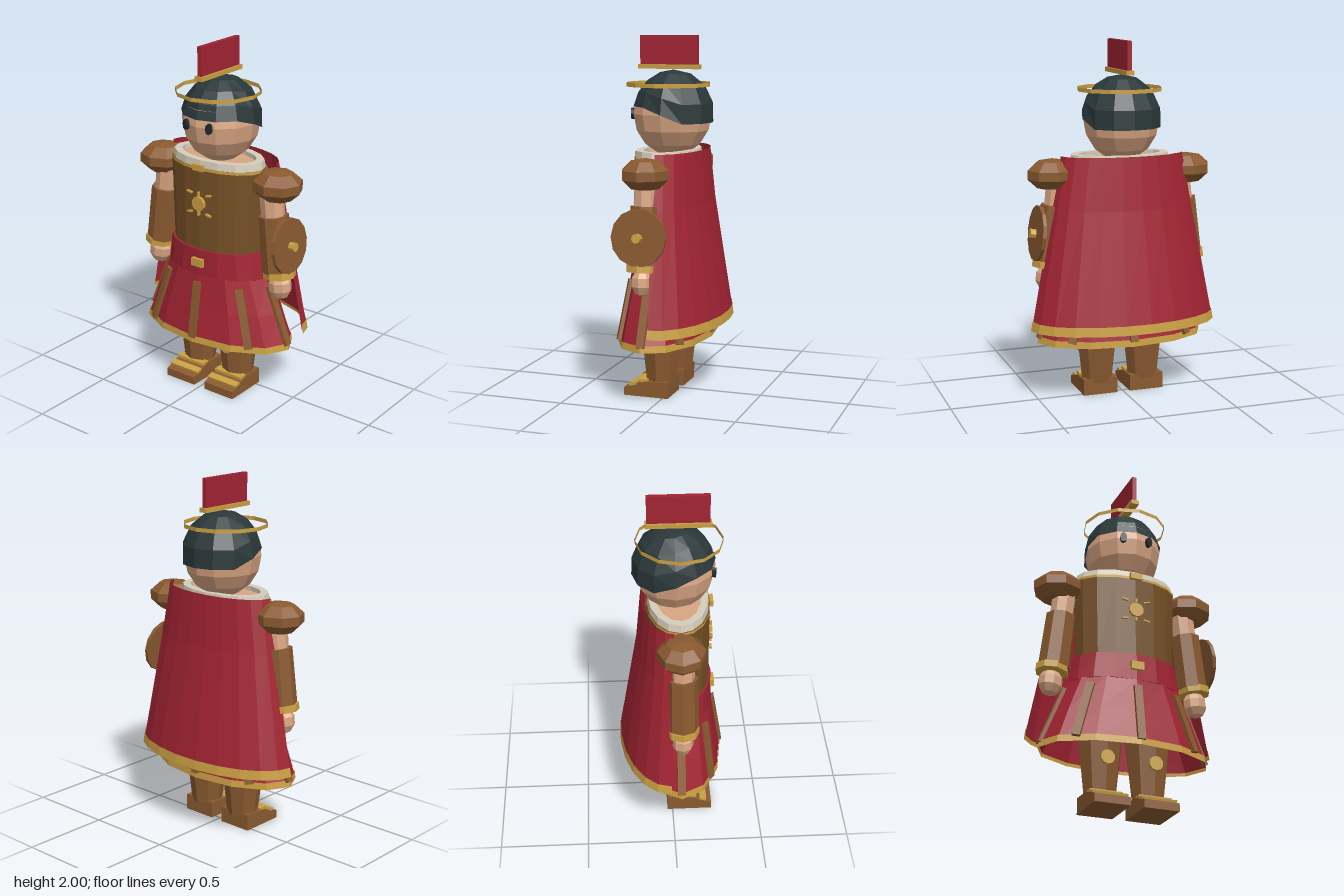
import * as THREE from 'three';

const mat = (name, color, side = THREE.FrontSide) =>
  Object.assign(new THREE.MeshStandardMaterial({ color, flatShading: true, side }), { name });

const red = mat('red cloth', 0xa32433, THREE.DoubleSide);
const gold = mat('gold', 0xcba042, THREE.DoubleSide);
const skin = mat('skin', 0xd8a582);
const leather = mat('leather', 0x8a5a30);
const bronze = mat('dark bronze', 0x765026);
const dark = mat('dark helmet', 0x2a3739, THREE.DoubleSide);
const linen = mat('linen', 0xd6cdba);
const eyeColor = mat('eye', 0x20272b);

const CZ = 0.04; // body centre line in z

function add(parent, name, geo, material, x = 0, y = 0, z = 0) {
  const m = new THREE.Mesh(geo, material);
  m.name = name;
  m.position.set(x, y, z);
  parent.add(m);
  return m;
}

// Elliptical loft through rows of [y, rx, rz, cz], listed from top to bottom
function loft(rows, segs = 12, open = true, start = 0, len = Math.PI * 2) {
  const g = new THREE.CylinderGeometry(1, 1, 1, segs, rows.length - 1, open, start, len);
  const p = g.attributes.position;
  for (let i = 0; i < p.count; i++) {
    const [y, rx, rz, cz = CZ] = rows[Math.round((0.5 - p.getY(i)) * (rows.length - 1))];
    p.setXYZ(i, p.getX(i) * rx, y, p.getZ(i) * rz + cz);
  }
  return g;
}

const box = (w, h, d) => new THREE.BoxGeometry(w, h, d);
const cyl = (top, bottom, h, n = 8) => new THREE.CylinderGeometry(top, bottom, h, n);
const lathe = (pts, n) => new THREE.LatheGeometry(pts.map(p => new THREE.Vector2(...p)), n);

function buildHead(root) {
  const head = new THREE.Group();
  head.name = 'head';
  root.add(head);
  add(head, 'face', new THREE.SphereGeometry(1, 12, 8).scale(0.215, 0.236, 0.222), skin, 0, 1.57, 0.02);

  // Skull cap: the lower edge drops towards the back
  const cap = new THREE.SphereGeometry(1, 12, 4, 0, Math.PI * 2, 0, 1);
  const p = cap.attributes.position;
  for (let i = 0; i < p.count; i++) {
    const x = p.getX(i), y = p.getY(i), z = p.getZ(i);
    const phi = Math.atan2(x, z), a = Math.abs(phi);
    const end = a < 1.1 ? 1.4 : a < 2 ? 1.56 : 1.76;
    const t = Math.acos(Math.min(1, y)) * end;
    p.setXYZ(i, Math.sin(t) * Math.sin(phi) * 0.225, Math.cos(t) * 0.242, Math.sin(t) * Math.cos(phi) * 0.23);
  }
  add(head, 'helmetCap', cap, dark, 0, 1.57, 0.015);
  add(head, 'helmetRing', loft([[1.742, 0.236, 0.236, 0.045], [1.72, 0.236, 0.236, 0.045]], 12), gold);
  add(head, 'crestBase', box(0.048, 0.025, 0.355), gold, 0, 1.828, 0.04);
  add(head, 'crest', box(0.026, 0.16, 0.335), red, 0, 1.92, 0.04);
  for (const s of [-1, 1]) {
    const eye = add(head, 'eye', cyl(1, 1, 0.02).rotateX(Math.PI / 2).scale(0.02, 0.031, 1), eyeColor, s * 0.077, 1.57, 0.227);
    eye.rotation.y = s * 0.28;
  }
}

function buildTorso(root) {
  add(root, 'breastplate', loft([[1.33, 0.3, 0.175], [0.86, 0.285, 0.175]], 16, false), bronze);
  add(root, 'breastplateTrim', loft([[1.337, 0.302, 0.179], [1.322, 0.302, 0.179]], 16), gold);
  add(root, 'shoulders', loft([[1.35, 0.26, 0.15], [1.32, 0.26, 0.15]], 16, false), skin);
  add(root, 'collar', loft([[1.335, 0.24, 0.125], [1.375, 0.24, 0.125], [1.375, 0.285, 0.165], [1.335, 0.293, 0.17]], 16), linen);
  add(root, 'clasp', box(0.07, 0.035, 0.02), gold, 0, 1.338, 0.222);

  // Sun badge with a hub and rays
  const sun = new THREE.Group();
  sun.name = 'sunBadge';
  sun.position.set(0, 1.13, 0.222);
  root.add(sun);
  add(sun, 'sunHub', cyl(0.042, 0.042, 0.018, 10).rotateX(Math.PI / 2), gold);
  for (const s of [-1, 1]) {
    add(sun, 'sunRay', box(0.012, 0.022, 0.014), gold, 0, s * 0.057, 0);
    for (const k of [-1, 1]) {
      const ray = add(sun, 'sunRay', box(0.035, 0.009, 0.014), gold, s * 0.064, k * 0.057, -0.004);
      ray.rotation.z = s * k * 0.2;
    }
  }
  add(root, 'waistSash', loft([[0.86, 0.302, 0.187], [0.71, 0.325, 0.19]], 16, false), red);
  add(root, 'buckle', box(0.074, 0.046, 0.024), gold, 0, 0.787, 0.234);
}

function buildSkirt(root) {
  add(root, 'skirt', loft([[0.715, 0.325, 0.188], [0.52, 0.412, 0.217], [0.335, 0.485, 0.247]]), red);
  add(root, 'skirtHem', loft([[0.355, 0.484, 0.249], [0.317, 0.49, 0.252]]), gold);
  // Eight leather straps lying on the skirt
  for (let i = 0; i < 8; i++) {
    const a = i * Math.PI / 4;
    const at = (y, rx, rz) => new THREE.Vector3(Math.sin(a) * rx, y, CZ + Math.cos(a) * rz);
    const top = at(0.67, 0.35, 0.199), low = at(0.345, 0.482, 0.25);
    const up = top.clone().sub(low), len = up.length();
    up.normalize();
    const side = new THREE.Vector3().crossVectors(up, new THREE.Vector3(Math.sin(a) * 0.6, 0, Math.cos(a))).normalize();
    const strap = add(root, 'skirtStrap', box(0.045, len, 0.02), leather);
    strap.position.copy(top).add(low).multiplyScalar(0.5);
    strap.quaternion.setFromRotationMatrix(new THREE.Matrix4().makeBasis(side, up, new THREE.Vector3().crossVectors(side, up)));
  }
}

function buildCape(root) {
  const back = rows => loft(rows, 11, true, Math.PI / 2, Math.PI);
  add(root, 'cape', back([[1.375, 0.355, 0.166, 0], [1.08, 0.41, 0.186, -0.005], [0.43, 0.534, 0.273, -0.02]]), red);
  add(root, 'capeHem', back([[0.46, 0.533, 0.272, -0.02], [0.408, 0.542, 0.278, -0.02]]), gold);
}

function buildArm(root, s) {
  const arm = new THREE.Group();
  arm.name = s > 0 ? 'leftArm' : 'rightArm';
  root.add(arm);
  const part = (name, geo, m, x, y) => {
    const mesh = add(arm, name, geo, m, s * x, y, CZ + 0.005);
    mesh.rotation.z = s * 0.11;
    return mesh;
  };
  part('upperArm', cyl(0.068, 0.066, 0.3), skin, 0.366, 1.17);
  part('forearmGuard', cyl(0.084, 0.089, 0.32), leather, 0.394, 0.94);
  part('cuff', cyl(0.092, 0.092, 0.038), gold, 0.421, 0.77);
  part('hand', new THREE.SphereGeometry(1, 8, 5).scale(0.07, 0.078, 0.062), skin, 0.427, 0.695);
  const pad = lathe([[0, -0.08], [0.085, -0.08], [0.14, -0.03], [0.14, 0.02], [0.085, 0.068], [0, 0.083]], 8);
  add(arm, 'shoulderPad', pad.scale(1, 1, 0.93), leather, s * 0.395, 1.278, CZ - 0.002);
  if (s > 0) {
    // Small round shield worn on the forearm
    part('shield', cyl(0.155, 0.155, 0.02, 14).rotateZ(Math.PI / 2), leather, 0.482, 0.945);
    part('shieldBoss', cyl(0.026, 0.026, 0.045).rotateZ(Math.PI / 2), gold, 0.503, 0.945);
  }
}

function buildLeg(root, s) {
  const leg = new THREE.Group();
  leg.name = s > 0 ? 'leftLeg' : 'rightLeg';
  leg.position.x = s * 0.138;
  root.add(leg);
  add(leg, 'greave', cyl(0.135, 0.088, 0.42), leather, 0, 0.28, CZ);
  add(leg, 'kneeDisc', cyl(0.04, 0.04, 0.02, 10).rotateX(Math.PI / 2), gold, 0, 0.275, 0.153);
  // Wedge boot drawn in side outline, then turned so the toe faces forward
  const side = new THREE.Shape([[-0.03, 0], [0.228, 0], [0.228, 0.045], [0.1, 0.088], [-0.03, 0.092]]
    .map(p => new THREE.Vector2(...p)));
  const boot = new THREE.ExtrudeGeometry(side, { depth: 0.2, bevelEnabled: false });
  add(leg, 'boot', boot.translate(0, 0, -0.1).rotateY(-Math.PI / 2), leather);
  add(leg, 'bootStrap', box(0.2, 0.016, 0.04), gold, 0, 0.067, 0.178).rotation.x = 0.25;
  add(leg, 'ankleStrap', box(0.185, 0.016, 0.05), gold, 0, 0.09, 0.115);
}

export function createModel() {
  const root = new THREE.Group();
  root.name = 'guardFigure';
  buildHead(root);
  buildTorso(root);
  buildSkirt(root);
  buildCape(root);
  for (const s of [-1, 1]) {
    buildArm(root, s);
    buildLeg(root, s);
  }
  return root;
}
